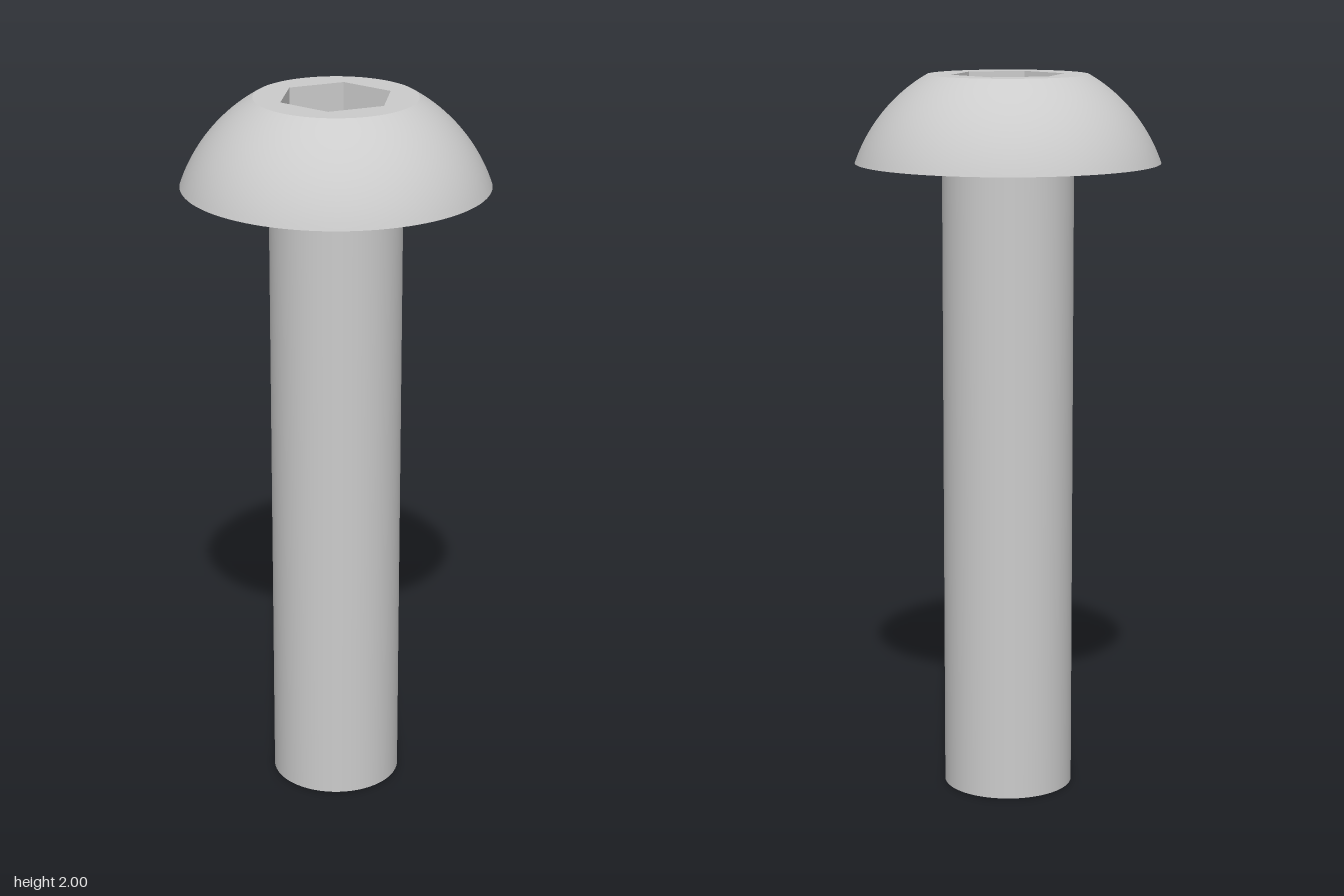
import * as THREE from 'three';

const SEGMENTS = 96;
const HEIGHT = 2, HEAD_BASE = 1.762;
const HEAD_RADIUS = 0.417, TOP_RADIUS = 0.22, SHANK_RADIUS = 0.18;
const SOCKET_RADIUS = 0.157, SOCKET_DEPTH = 0.16;

export function createModel() {
  const group = new THREE.Group();
  const smooth = new THREE.MeshStandardMaterial({ color: 0xcccccc });
  const socketMaterial = new THREE.MeshStandardMaterial({
    color: 0xcccccc, flatShading: true, side: THREE.BackSide,
  });

  const add = (name, geometry, y, material = smooth) => {
    const mesh = new THREE.Mesh(geometry, material);
    mesh.name = name;
    mesh.position.y = y;
    group.add(mesh);
    return mesh;
  };

  // Plain round shank
  add('shank', new THREE.CylinderGeometry(SHANK_RADIUS, SHANK_RADIUS, HEAD_BASE, SEGMENTS), HEAD_BASE / 2);

  // Domed head: a spherical zone between the rim and the flat top
  const rise = HEIGHT - HEAD_BASE;
  const offset = (HEAD_RADIUS ** 2 - TOP_RADIUS ** 2 - rise ** 2) / (2 * rise);
  const sphereRadius = Math.hypot(HEAD_RADIUS, offset);
  const startAngle = Math.atan2(offset, HEAD_RADIUS);
  const endAngle = Math.atan2(offset + rise, TOP_RADIUS);
  const profile = [];
  for (let i = 0; i <= 20; i++) {
    const a = THREE.MathUtils.lerp(startAngle, endAngle, i / 20);
    profile.push(new THREE.Vector2(sphereRadius * Math.cos(a), sphereRadius * Math.sin(a) - offset));
  }
  add('headDome', new THREE.LatheGeometry(profile, SEGMENTS), HEAD_BASE);

  // Flat bearing face under the head
  const underside = new THREE.RingGeometry(SHANK_RADIUS, HEAD_RADIUS, SEGMENTS);
  add('headUnderside', underside.rotateX(Math.PI / 2), HEAD_BASE);

  // Flat top with a hexagonal opening, corners on the x axis
  const hexagon = [];
  for (let i = 0; i < 6; i++) {
    const a = i * Math.PI / 3;
    hexagon.push(new THREE.Vector2(SOCKET_RADIUS * Math.cos(a), SOCKET_RADIUS * Math.sin(a)));
  }
  const top = new THREE.Shape().absarc(0, 0, TOP_RADIUS, 0, Math.PI * 2);
  top.holes.push(new THREE.Path(hexagon).closePath());
  add('headTop', new THREE.ShapeGeometry(top, SEGMENTS / 2).rotateX(-Math.PI / 2), HEIGHT);

  // Hex socket walls and floor
  const walls = new THREE.CylinderGeometry(SOCKET_RADIUS, SOCKET_RADIUS, SOCKET_DEPTH, 6, 1, true);
  add('socketWalls', walls.rotateY(Math.PI / 6), HEIGHT - SOCKET_DEPTH / 2, socketMaterial);
  const floor = new THREE.ShapeGeometry(new THREE.Shape(hexagon));
  add('socketFloor', floor.rotateX(-Math.PI / 2), HEIGHT - SOCKET_DEPTH);

  return group;
}
